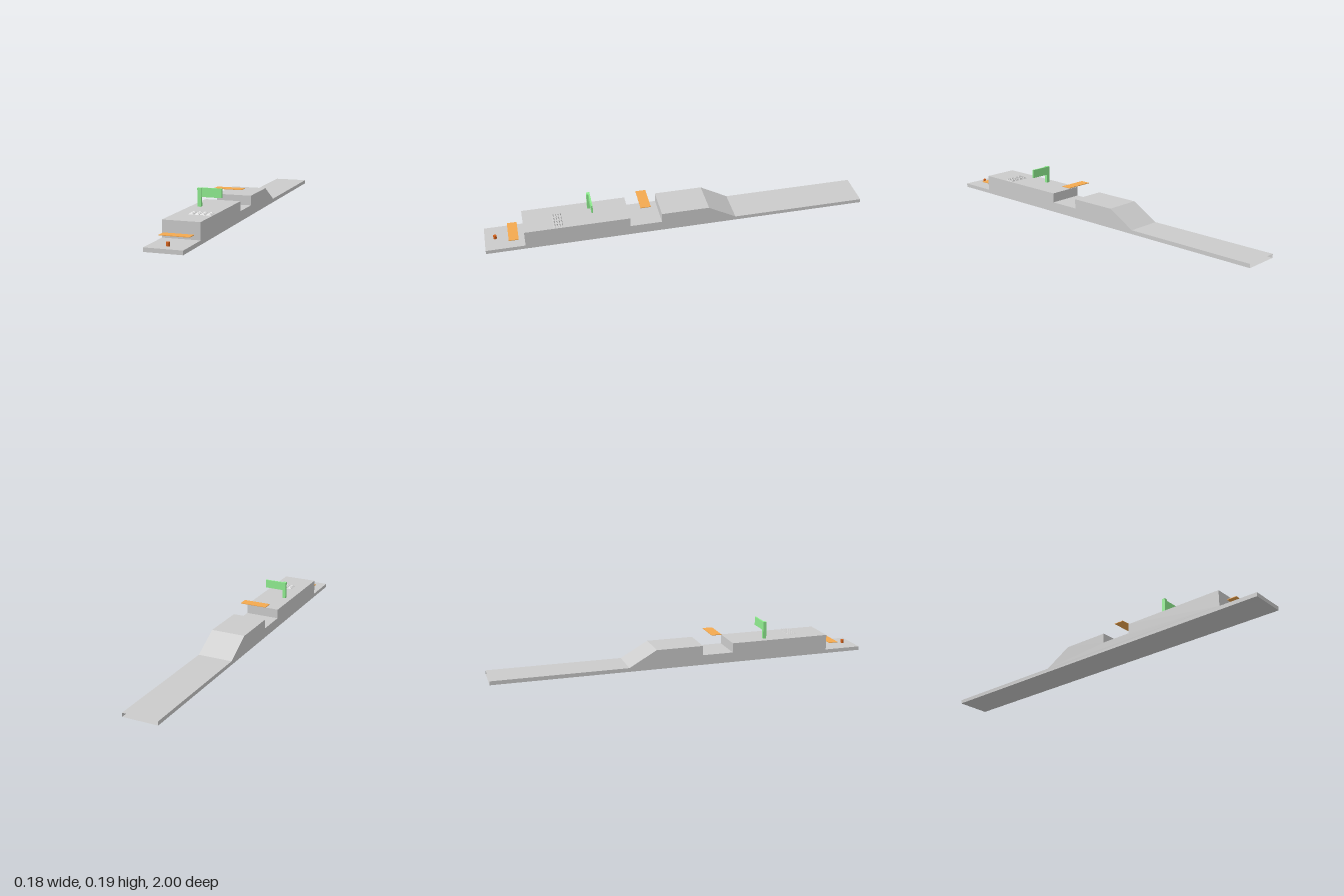
import * as THREE from 'three';

const material = (color) =>
  new THREE.MeshStandardMaterial({ color, flatShading: true, side: THREE.DoubleSide });
const grey = material(0xcccccc);
const green = material(0x90ee90);
const orange = material(0xf4a94f);
const rust = material(0xd2601a);

const LEFT = 0.091, RIGHT = -0.093;

// Outline of the track as [z, y], from the back floor round to the back top
const profile = [
  [-1, 0], [1, 0], [1, 0.02], [0.8, 0.02], [0.8, 0.102], [0.26, 0.102], [0.26, 0.052],
  [0.095, 0.052], [0.095, 0.102], [-0.155, 0.102], [-0.3, 0.02], [-1, 0.02],
];

export function createModel() {
  const model = new THREE.Group();

  function add(name, geometry, mat, x = 0, y = 0, z = 0, parent = model) {
    const mesh = new THREE.Mesh(geometry, mat);
    mesh.name = name;
    mesh.position.set(x, y, z);
    parent.add(mesh);
    return mesh;
  }

  // Box given by its limits on each axis
  function box(name, mat, [x0, x1], [y0, y1], [z0, z1], parent) {
    return add(name, new THREE.BoxGeometry(x1 - x0, y1 - y0, z1 - z0), mat,
      (x0 + x1) / 2, (y0 + y1) / 2, (z0 + z1) / 2, parent);
  }

  // Track skin: floor, front end and stepped top; the back end is open
  const positions = [];
  for (let i = 0; i < profile.length - 1; i++) {
    const [z0, y0] = profile[i];
    const [z1, y1] = profile[i + 1];
    const a = [RIGHT, y0, z0], b = [LEFT, y0, z0], c = [LEFT, y1, z1], d = [RIGHT, y1, z1];
    positions.push(...a, ...b, ...c, ...a, ...c, ...d);
  }
  const skin = new THREE.BufferGeometry();
  skin.setAttribute('position', new THREE.Float32BufferAttribute(positions, 3));
  skin.computeVertexNormals();
  add('trackSurface', skin, grey);

  // Side walls; the shape is drawn in (-z, y) and turned to face +x or -x
  for (const side of [1, -1]) {
    const shape = new THREE.Shape(profile.map(([z, y]) => new THREE.Vector2(-side * z, y)));
    const wall = new THREE.ShapeGeometry(shape).rotateY(side * Math.PI / 2);
    add(side > 0 ? 'leftWall' : 'rightWall', wall, grey, side > 0 ? LEFT : RIGHT);
  }

  // Signpost with its board
  const sign = new THREE.Group();
  sign.name = 'sign';
  model.add(sign);
  box('signPost', green, [-0.057, -0.039], [0.1, 0.193], [0.445, 0.463], sign);
  box('signBoard', green, [-0.039, 0.063], [0.148, 0.193], [0.445, 0.453], sign);

  // Floating platforms, one over the gap and one before the front step
  box('gapPlatform', orange, [-0.07, 0.077], [0.147, 0.15], [0.15, 0.203]);
  box('frontPlatform', orange, [-0.073, 0.072], [0.048, 0.051], [0.83, 0.88]);

  // Small peg near the front end
  add('peg', new THREE.CylinderGeometry(0.0085, 0.0085, 0.018, 16), rust, 0, 0.03, 0.947);

  // Bed of four-sided spikes
  const spikes = new THREE.Group();
  spikes.name = 'spikeBed';
  model.add(spikes);
  const cols = 4, rows = 4, w = 0.0275, d = 0.0125;
  for (let row = 0; row < rows; row++) {
    for (let col = 0; col < cols; col++) {
      const h = 0.009 + 0.002 * ((col + row) % 2);
      const spike = new THREE.ConeGeometry(Math.SQRT1_2, 1, 4, 1).rotateY(Math.PI / 4).scale(w, h, d);
      add('spike', spike, grey, -0.027 + (col + 0.5) * w, 0.102 + h / 2, 0.602 + (row + 0.5) * d, spikes);
    }
  }

  return model;
}
